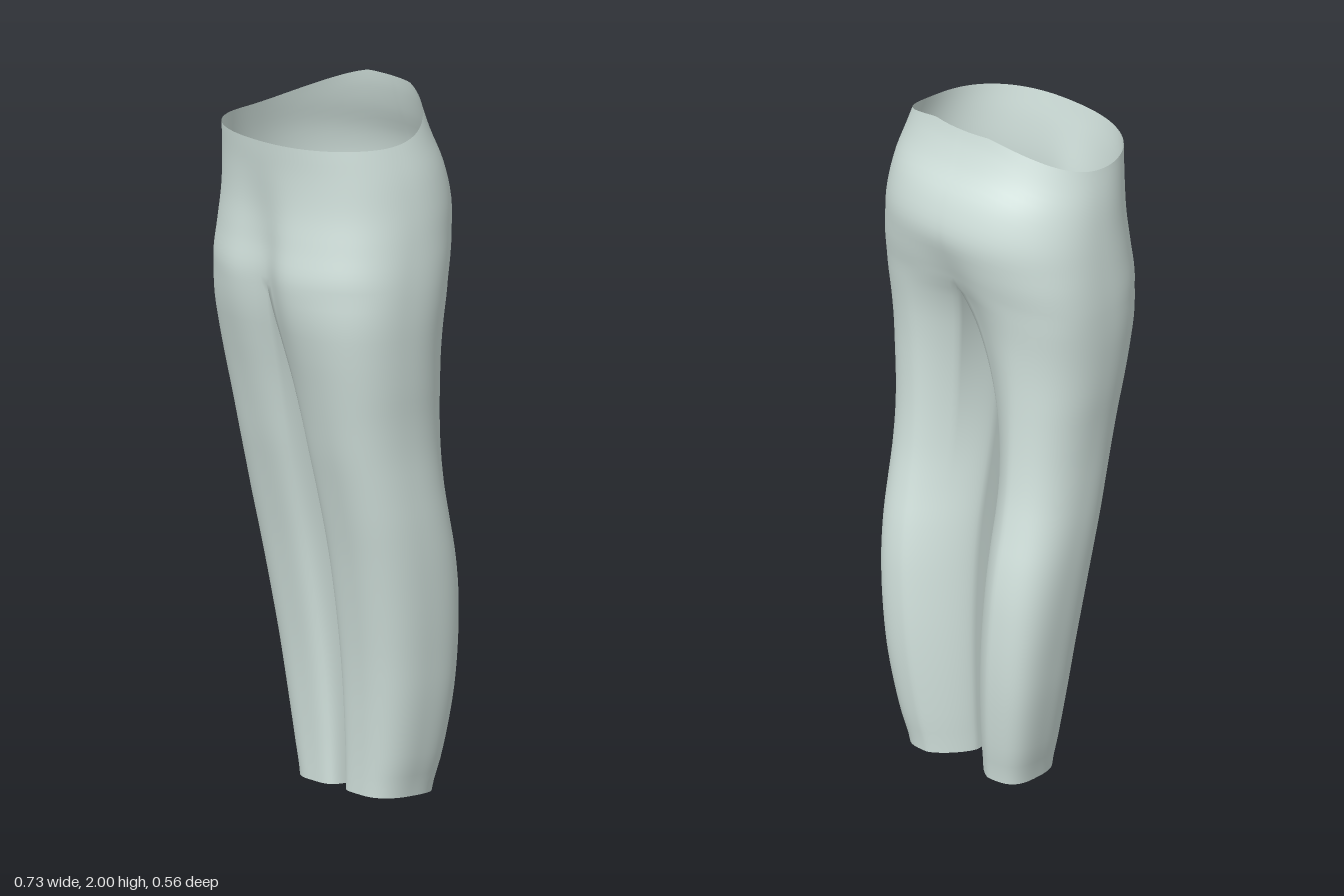
import * as THREE from 'three';
import { mergeVertices } from 'three/addons/utils/BufferGeometryUtils.js';

// Profiles sampled every 0.1 in height: outer half width, front depth, back depth
const OUTER = [.212, .236, .256, .273, .286, .298, .308, .316, .321, .323, .326, .334, .346, .356, .364, .366, .361, .352, .338, .315, .29];
const FRONT = [0, .004, .011, .02, .032, .047, .064, .083, .105, .129, .155, .18, .207, .237, .266, .283, .275, .268, .271, .283, .295];
const BACK = [-.208, -.226, -.24, -.25, -.255, -.255, -.25, -.237, -.217, -.2, -.192, -.191, -.195, -.202, -.212, -.231, -.26, -.281, -.265, -.225, -.2];

const ARC = 56;       // segments from front centre round the outside to the back
const INNER = 24;     // segments along the inside of the leg
const LEG_ROWS = 48;
const HIP_ROWS = 20;

const smooth = THREE.MathUtils.smoothstep;
const lerp = THREE.MathUtils.lerp;

// Catmull-Rom lookup in a profile
function sample(table, y) {
  const f = Math.min(Math.max(y * 10, 0), table.length - 1);
  const i = Math.min(Math.floor(f), table.length - 2);
  const t = f - i;
  const [a, b, c, d] = [-1, 0, 1, 2].map(k => table[Math.min(Math.max(i + k, 0), table.length - 1)]);
  return b + 0.5 * t * (c - a + t * (2 * a - 5 * b + 4 * c - d + t * (3 * (b - c) + d - a)));
}

// Unit superellipse point; higher exponents give squarer corners
function squircle(angle, n) {
  const s = Math.sin(angle), c = Math.cos(angle);
  const r = (Math.abs(s) ** n + Math.abs(c) ** n) ** (-1 / n);
  return [s * r, c * r];
}

// Height where the legs join; t runs from front centre (0) to back centre (1)
const joinHeight = t => 1.47 + 0.05 * smooth(t, 0.6, 1);

// Half of the hip section; angle 0 is the front centre, PI the back centre
function hipPoint(angle, y) {
  const zf = sample(FRONT, y), zb = sample(BACK, y);
  const seat = 2.15 + 0.75 * Math.exp(-(((y - 1.47) / 0.16) ** 2));
  const [s, c] = squircle(angle, Math.cos(angle) > 0 ? 2.3 : seat);
  const x = sample(OUTER, y) * s;
  let z = (zf + zb) / 2 + (zf - zb) / 2 * c;
  // centre creases at front and back
  const crease = c > 0 ? 0.042 * (1 - smooth(y, 1.45, 1.86)) : -0.02 * (1 - smooth(y, 1.47, 1.7));
  z -= crease * Math.exp(-((x / 0.08) ** 2)) * Math.min(1, Math.abs(c) * 2);
  return [x < 1e-5 ? 0 : x, z];
}

// Corner sharpness round the leg: square inside front, cut away inside back
function legExponent(angle, y) {
  const front = Math.cos(angle) > 0, outside = Math.sin(angle) > 0;
  if (outside) return front ? 2.5 : lerp(3.3, 2.4, smooth(y, 0.2, 0.9));
  return front ? 5 : 1.35;
}

// Closed leg section at row fraction v, blending into the hip section at the top
function legPoint(j, v) {
  const w = Math.max(0, (v - 0.51) / 0.49) ** 2;
  const onArc = j <= ARC;
  const t = onArc ? j / ARC : (j - ARC) / INNER;
  const angle = Math.PI * (onArc ? lerp(-0.25, 1.25, t) : lerp(1.25, 1.75, t));
  const join = onArc ? joinHeight(t) : lerp(joinHeight(1), joinHeight(0), t);
  const y = v * join;
  const xo = sample(OUTER, y), xi = lerp(0.02, 0.034, smooth(y, 0.1, 0.8));
  const zf = sample(FRONT, y), zb = sample(BACK, y);
  const hip = onArc ? hipPoint(t * Math.PI, y) : [0, lerp(hipPoint(Math.PI, v * joinHeight(1))[1], hipPoint(0, v * joinHeight(0))[1], t)];
  const sag = onArc ? 0 : 0.045 * Math.sin(t * Math.PI) * w * w;
  const [s, c] = squircle(angle, legExponent(angle, y));
  const x = (xo + xi) / 2 + (xo - xi) / 2 * s;
  const z = (zf + zb) / 2 + (zf - zb) / 2 * c;
  return [lerp(x, hip[0], w), y - sag, lerp(z, hip[1], w)];
}

// Waist edge: low in front, rising to the back
function rimHeight(angle) {
  const z = 0.04 + 0.243 * Math.cos(angle);
  return 1.89 + 0.11 * THREE.MathUtils.clamp((0.12 - z) / 0.31, 0, 1) ** 2.4;
}

function buildGeometry() {
  const positions = [], indices = [];

  // Adds a grid of rows (bottom to top), once for each side
  function addRows(rows) {
    for (const side of [1, -1]) {
      const base = positions.length / 3, n = rows[0].length;
      for (const row of rows) for (const [x, y, z] of row) positions.push(side * x, y, z);
      for (let i = 0; i < rows.length - 1; i++) {
        for (let j = 0; j < n - 1; j++) {
          const a = base + i * n + j, b = a + 1, c = b + n, d = a + n;
          if (side > 0) indices.push(a, b, c, a, c, d);
          else indices.push(a, c, b, a, d, c);
        }
      }
    }
  }

  // Legs
  const legs = [];
  for (let i = 0; i <= LEG_ROWS; i++) {
    legs.push(Array.from({ length: ARC + INNER + 1 }, (_, j) => legPoint(j % (ARC + INNER), i / LEG_ROWS)));
  }
  addRows(legs);

  // Hips and waist
  const hips = [];
  for (let i = 0; i <= HIP_ROWS; i++) {
    hips.push(Array.from({ length: ARC + 1 }, (_, j) => {
      const angle = Math.PI * j / ARC;
      const y = lerp(joinHeight(j / ARC), rimHeight(angle), i / HIP_ROWS);
      const [x, z] = hipPoint(angle, y);
      return [x, y, z];
    }));
  }
  addRows(hips);

  let geometry = new THREE.BufferGeometry();
  geometry.setAttribute('position', new THREE.Float32BufferAttribute(positions, 3));
  geometry.setIndex(indices);
  geometry = mergeVertices(geometry, 1e-5);
  geometry.computeVertexNormals();
  return geometry;
}

export function createModel() {
  const group = new THREE.Group();
  group.name = 'trousers';
  const cloth = new THREE.MeshStandardMaterial({ color: 0xd3e3de, side: THREE.DoubleSide });
  const mesh = new THREE.Mesh(buildGeometry(), cloth);
  mesh.name = 'trouserCloth';
  group.add(mesh);
  return group;
}
